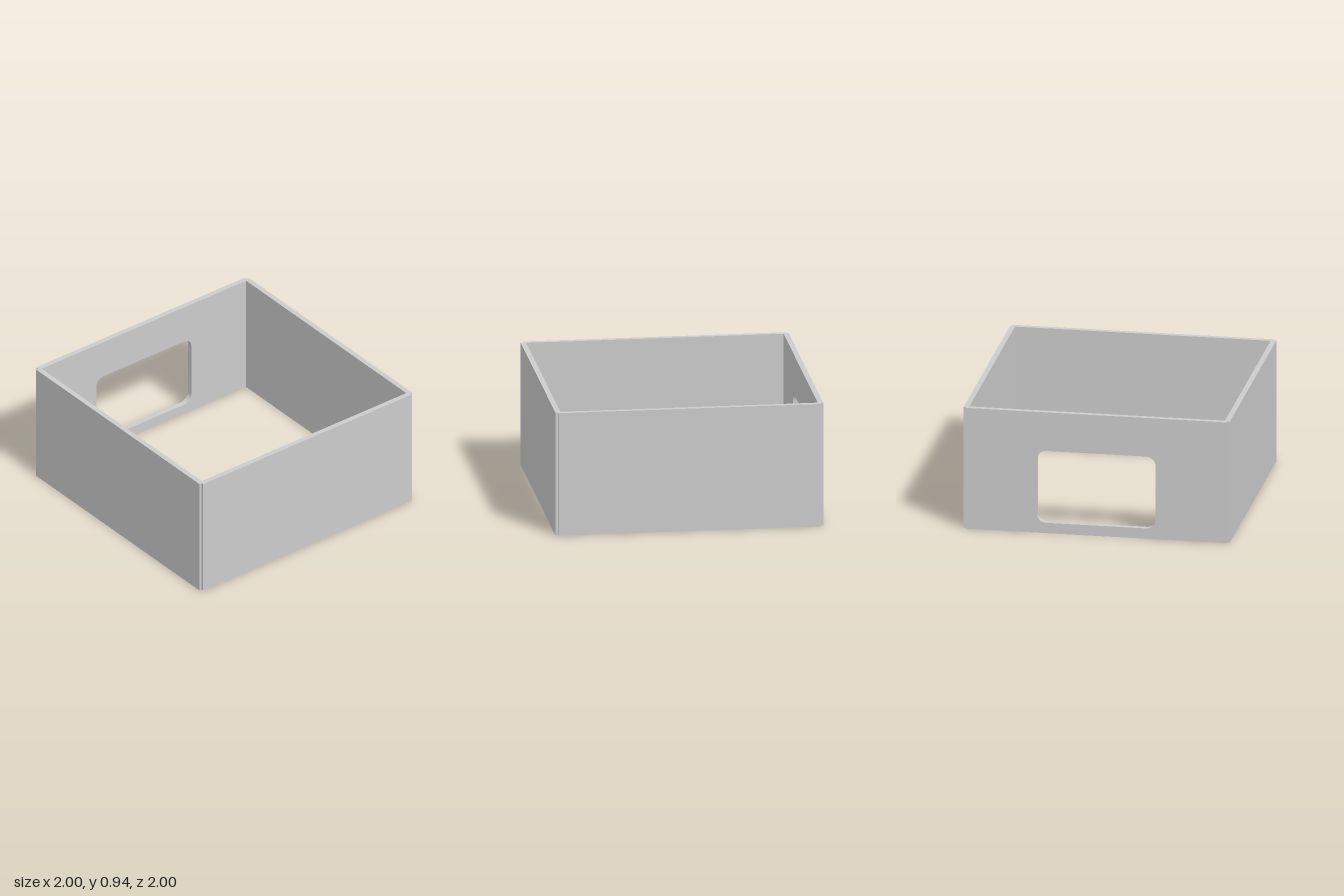
import * as THREE from 'three';
import { toCreasedNormals } from 'three/addons/utils/BufferGeometryUtils.js';

const HEIGHT = 0.94, OUTER = 1, THICK = 0.04, HALF = 0.98;

// Rounded rectangle used for the window opening
function roundedRect(x0, y0, x1, y1, r) {
  const p = new THREE.Path();
  p.absarc(x1 - r, y1 - r, r, 0, Math.PI / 2);
  p.absarc(x0 + r, y1 - r, r, Math.PI / 2, Math.PI);
  p.absarc(x0 + r, y0 + r, r, Math.PI, Math.PI * 1.5);
  p.absarc(x1 - r, y0 + r, r, Math.PI * 1.5, Math.PI * 2);
  p.closePath();
  return p;
}

// Upright panel facing +z; its inner half is mitred so four panels meet at the corners
function wallGeometry(opening) {
  const shape = new THREE.Shape([
    new THREE.Vector2(-HALF, 0), new THREE.Vector2(HALF, 0),
    new THREE.Vector2(HALF, HEIGHT), new THREE.Vector2(-HALF, HEIGHT),
  ]);
  if (opening) shape.holes.push(opening);
  const geo = new THREE.ExtrudeGeometry(shape, { depth: THICK, steps: 2, bevelEnabled: false, curveSegments: 8 });
  const pos = geo.attributes.position;
  for (let i = 0; i < pos.count; i++) {
    const x = pos.getX(i);
    if (pos.getZ(i) < 0.001 && Math.abs(x) > 0.97) pos.setX(i, Math.sign(x) * (OUTER - THICK));
  }
  geo.translate(0, 0, OUTER - THICK);
  return toCreasedNormals(geo, Math.PI / 6);
}

export function createModel() {
  const group = new THREE.Group();
  group.name = 'openBox';
  const material = new THREE.MeshStandardMaterial({ color: 0xcccccc });

  // Four walls around an open middle; the one at -x has the window
  const names = ['frontWall', 'leftWall', 'backWall', 'windowWall'];
  names.forEach((name, i) => {
    const opening = name === 'windowWall' ? roundedRect(-0.445, 0.08, 0.445, 0.64, 0.07) : null;
    const wall = new THREE.Mesh(wallGeometry(opening), material);
    wall.name = name;
    wall.rotation.y = i * Math.PI / 2;
    group.add(wall);
  });
  return group;
}
